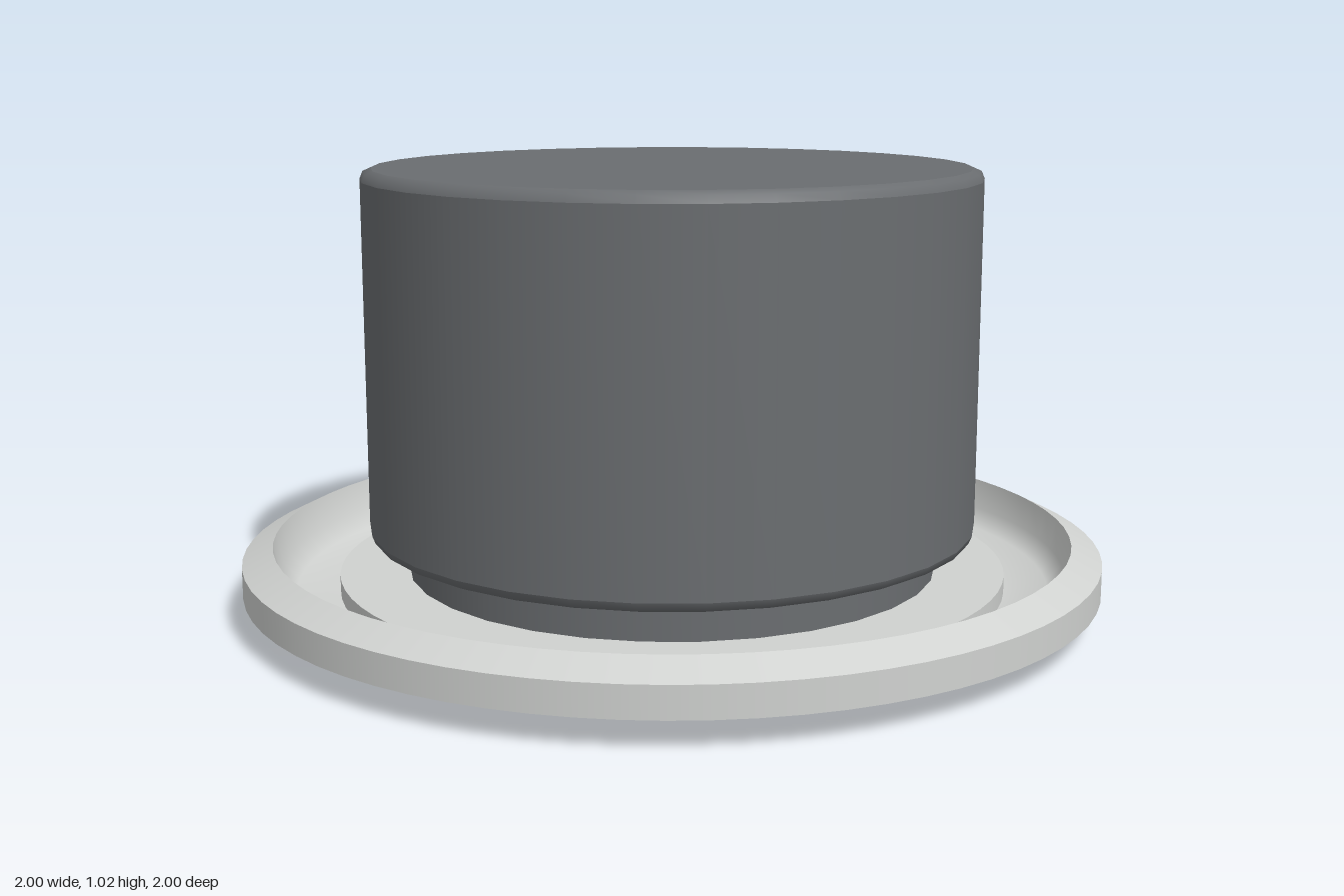
import * as THREE from 'three';

const lightGrey = new THREE.MeshStandardMaterial({ color: 0xd0d2d0 });
lightGrey.name = 'lightGreyTrim';
const darkGrey = new THREE.MeshStandardMaterial({ color: 0x6a6d70 });
darkGrey.name = 'darkGreyHousing';
const black = new THREE.MeshStandardMaterial({ color: 0x1a1a1a });
black.name = 'blackRubber';

// Each run is a smooth stretch of the profile [radius, height]; edges between runs stay sharp.
function turned(name, runs, material, segments) {
  const group = new THREE.Group();
  group.name = name;
  runs.forEach((run, i) => {
    const points = run.map(([r, y]) => new THREE.Vector2(r, y));
    const mesh = new THREE.Mesh(new THREE.LatheGeometry(points, segments), material);
    mesh.name = `${name}Surface${i + 1}`;
    group.add(mesh);
  });
  return group;
}

export function createModel() {
  const model = new THREE.Group();
  model.name = 'roundFixture';

  // Dished trim plate: underside, rim, bevel, dish and the raised seat in its middle
  model.add(turned('trimPlate', [
    [[0, 0.03], [0.7, 0.03], [0.85, 0.03], [1, 0.065]],
    [[1, 0.065], [1, 0.135]],
    [[1, 0.135], [0.93, 0.17]],
    [[0.93, 0.17], [0.915, 0.1], [0.88, 0.06], [0.78, 0.05]],
    [[0.78, 0.05], [0.78, 0.09]],
    [[0.78, 0.09], [0, 0.09]],
  ], lightGrey, 72));

  // Cylindrical housing with slightly rounded edges
  model.add(turned('housing', [
    [[0, 0.175], [0.685, 0.175]],
    [[0.685, 0.175], [0.703, 0.183], [0.71, 0.2]],
    [[0.71, 0.2], [0.71, 1]],
    [[0.71, 1], [0.703, 1.017], [0.685, 1.025]],
    [[0.685, 1.025], [0, 1.025]],
  ], darkGrey, 32));

  // Short neck joining the housing to the seat
  model.add(turned('neck', [[[0.62, 0.085], [0.62, 0.18]]], darkGrey, 32));

  // Concentric rings under the plate
  [0.215, 0.355, 0.5, 0.64].forEach((radius, i) => {
    const ring = new THREE.Mesh(new THREE.TorusGeometry(radius, 0.02, 10, 64), black);
    ring.name = `undersideRing${i + 1}`;
    ring.rotation.x = Math.PI / 2;
    ring.position.y = 0.02;
    model.add(ring);
  });

  return model;
}
